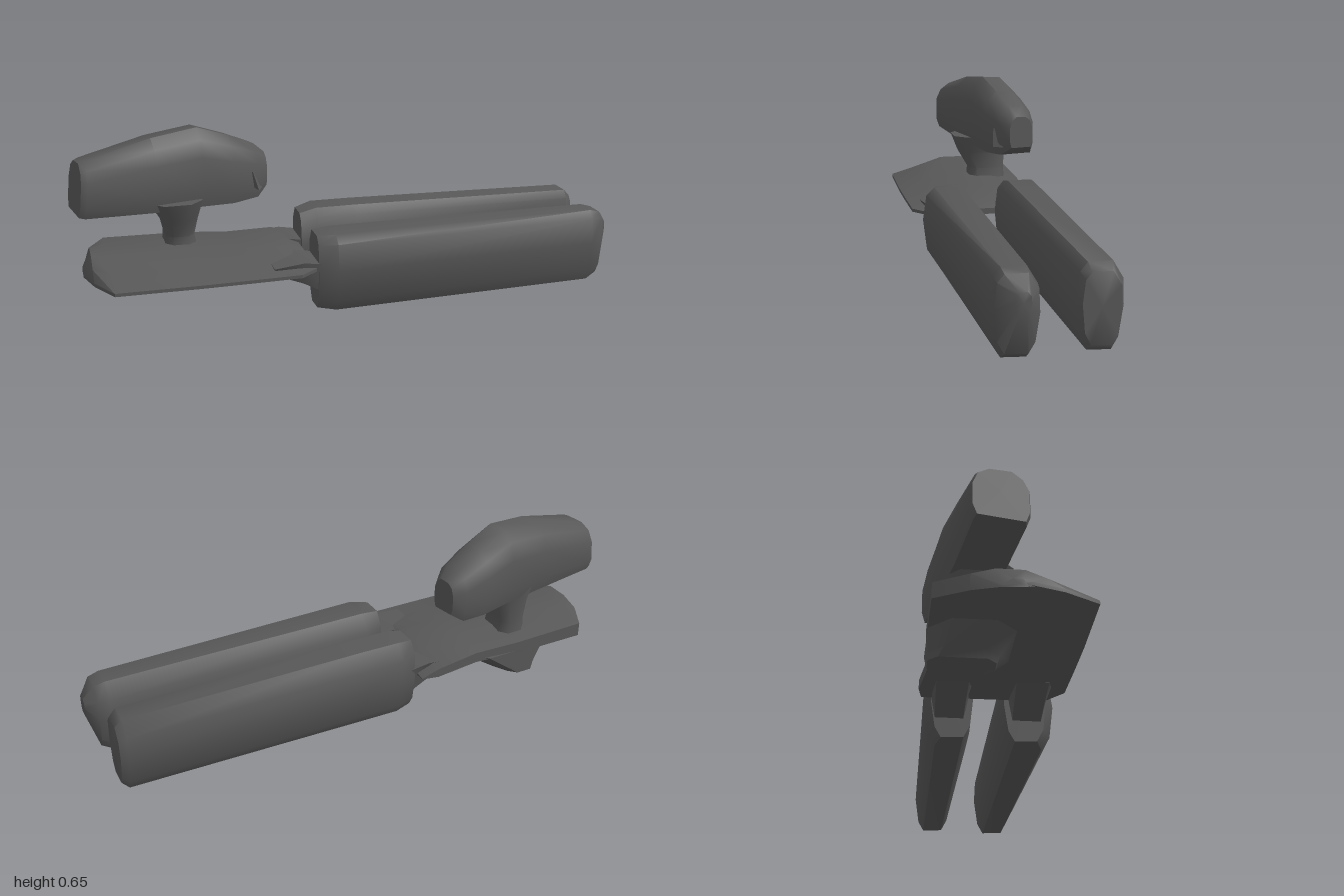
import * as THREE from 'three';
import { toCreasedNormals } from 'three/addons/utils/BufferGeometryUtils.js';

const darkGrey = new THREE.MeshStandardMaterial({ color: 0x585858 });
darkGrey.name = 'darkGrey';

// Closed skin over rings of equally many [x, y, z] points, capped at both ends.
function loft(name, rings, crease = 0.8) {
  const n = rings[0].length, pos = rings.flat(2), index = [];
  rings.slice(1).forEach((_, r) => {
    for (let i = 0; i < n; i++) {
      const a = r * n + i, b = r * n + (i + 1) % n;
      index.push(a, b, a + n, b, b + n, a + n);
    }
  });
  [0, rings.length - 1].forEach((r, end) => {
    const c = pos.length / 3;
    for (let k = 0; k < 3; k++) pos.push(rings[r].reduce((s, p) => s + p[k], 0) / n);
    for (let i = 0; i < n; i++) {
      const a = r * n + i, b = r * n + (i + 1) % n;
      if (end) index.push(a, b, c); else index.push(b, a, c);
    }
  });
  // Turn the faces outward if the signed volume is negative.
  const p = i => new THREE.Vector3().fromArray(pos, i * 3);
  let volume = 0;
  for (let i = 0; i < index.length; i += 3) {
    volume += p(index[i]).dot(p(index[i + 1]).cross(p(index[i + 2])));
  }
  if (volume < 0) index.reverse();
  const g = new THREE.BufferGeometry();
  g.setAttribute('position', new THREE.Float32BufferAttribute(pos, 3));
  g.setIndex(index);
  const mesh = new THREE.Mesh(toCreasedNormals(g, crease), darkGrey);
  mesh.name = name;
  return mesh;
}

// Long tube: one [z, y] section in -1..1, scaled at stations [x, zCentre, halfZ, yCentre, halfY].
const tubeSection = [[-0.5, 1], [0.55, 1], [0.86, 0.8], [1, 0.15], [0.86, -0.65],
  [0.55, -0.97], [-0.5, -1], [-0.8, -0.72], [-1, 0], [-0.95, 0.6]];
function tube(name, stations) {
  return loft(name, stations.map(([x, zc, hz, yc, hy]) =>
    tubeSection.map(([z, y]) => [x, yc + y * hy, zc + z * hz])));
}

// Pod: stations [x, zCentre, halfWidth, bottom, top], with ends square to its slanted axis.
function pod() {
  const stations = [[-0.975, -0.062, 0.088, 0.385, 0.57], [-0.955, -0.064, 0.095, 0.38, 0.578],
    [-0.72, -0.1, 0.096, 0.37, 0.635], [-0.55, -0.135, 0.092, 0.367, 0.655],
    [-0.43, -0.163, 0.088, 0.36, 0.61], [-0.33, -0.187, 0.076, 0.367, 0.565],
    [-0.285, -0.2, 0.048, 0.4, 0.525]];
  const section = [[0.85, 0], [1, 0.2], [1, 0.65], [0.8, 0.86], [0.4, 1],
    [-0.4, 0.98], [-0.8, 0.86], [-1, 0.62], [-1, 0.2], [-0.85, 0]];
  return loft('pod', stations.map(([x, zc, w, bottom, top], i) =>
    section.map(([z, y]) => [x + z * w * 0.19 - (i < 2 ? (1 - y) * 0.02 : 0),
      bottom + y * (top - bottom), zc + z * w])));
}

// Deck: stations [x, back z, front z, crown y].
function deck() {
  const stations = [[-0.98, -0.06, 0.03, 0.19], [-0.95, -0.15, 0.13, 0.238],
    [-0.89, -0.258, 0.245, 0.236], [-0.6, -0.258, 0.252, 0.23],
    [-0.42, -0.24, 0.252, 0.222], [-0.24, -0.262, 0.25, 0.216], [-0.175, -0.25, 0.2, 0.185]];
  return loft('deck', stations.map(([x, back, front, crown]) => [
    [x, 0.16, back], [x, 0.163, front * 0.4], [x, 0.17, front], [x, 0.182, front],
    [x, crown - 0.025, front * 0.6], [x, crown, front * 0.1],
    [x, crown, back * 0.5], [x, crown - 0.022, back]]), 0.5);
}

// Rectangular rings [y, x0, x1, z0, z1] with cut corners.
function column(name, levels) {
  return loft(name, levels.map(([y, x0, x1, z0, z1]) => {
    const c = Math.min(x1 - x0, z1 - z0) * 0.25;
    return [[x0 + c, y, z0], [x1 - c, y, z0], [x1, y, z0 + c], [x1, y, z1 - c],
      [x1 - c, y, z1], [x0 + c, y, z1], [x0, y, z1 - c], [x0, y, z0 + c]];
  }));
}

export function createModel() {
  const model = new THREE.Group();
  model.name = 'model';

  // Two long side-by-side tubes
  model.add(tube('frontTube', [[-0.165, 0.12, 0.075, 0.15, 0.14], [-0.1, 0.13, 0.1, 0.15, 0.147],
    [0.92, 0.12, 0.076, 0.148, 0.143], [0.96, 0.12, 0.07, 0.155, 0.125], [1, 0.11, 0.025, 0.2, 0.035]]));
  model.add(tube('rearTube', [[-0.165, -0.14, 0.075, 0.155, 0.14], [-0.1, -0.15, 0.09, 0.16, 0.15],
    [0.05, -0.148, 0.088, 0.16, 0.15], [0.94, -0.14, 0.074, 0.155, 0.14], [0.965, -0.14, 0.062, 0.155, 0.115]]));

  // Upper pod, its small fin and the neck carrying it
  model.add(pod());
  model.add(loft('podFin', [
    [[-0.36, 0.48, -0.12], [-0.34, 0.47, -0.098], [-0.32, 0.47, -0.13]],
    [[-0.355, 0.42, -0.12], [-0.32, 0.4, -0.092], [-0.3, 0.4, -0.13]]]));
  model.add(column('neck', [[0.2, -0.68, -0.56, -0.2, -0.045], [0.26, -0.675, -0.57, -0.198, -0.05],
    [0.33, -0.69, -0.56, -0.2, -0.01], [0.4, -0.73, -0.54, -0.2, 0.015]]));

  // Flat deck with a keel below
  model.add(deck());
  model.add(column('keel', [[0.065, -0.7, -0.58, -0.255, -0.04], [0.09, -0.72, -0.53, -0.256, -0.03],
    [0.17, -0.78, -0.4, -0.257, 0.025]]));

  // Tapered links joining the deck to each tube
  for (const [name, z] of [['frontLink', 0.125], ['rearLink', -0.15]]) {
    model.add(loft(name, [[-0.33, 0.165, 0.195, 0.08], [-0.22, 0.12, 0.205, 0.075], [-0.13, 0.07, 0.19, 0.07]]
      .map(([x, y0, y1, w]) => [[x, y0, z - w * 0.7], [x, y0, z + w * 0.7], [x, y1, z + w], [x, y1, z - w]])));
  }
  return model;
}
